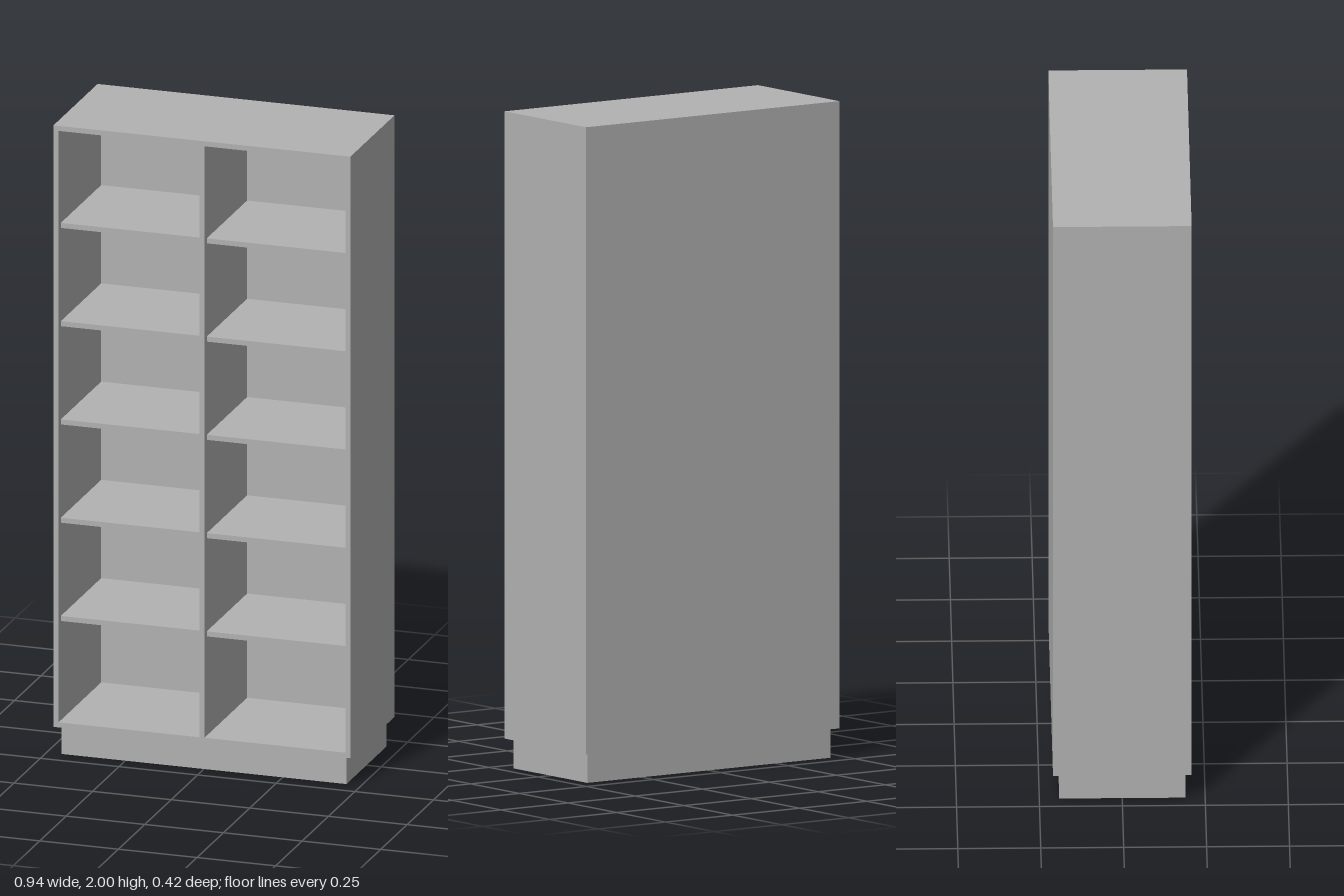
import * as THREE from 'three';

export function createModel() {
  const group = new THREE.Group();
  const grey = new THREE.MeshStandardMaterial({ color: 0xb2b2b2 });
  grey.name = 'grey';

  // Overall cabinet dimensions
  const W = 0.944, D = 0.418, BASE = 0.09, TOP = 2, T = 0.016;
  const H = TOP - BASE, inner = W - 2 * T, backT = 0.014;

  // Box placed by its centre
  const panel = (name, w, h, d, x, y, z) => {
    const mesh = new THREE.Mesh(new THREE.BoxGeometry(w, h, d), grey);
    mesh.name = name;
    mesh.position.set(x, y, z);
    group.add(mesh);
  };

  // Recessed plinth
  panel('plinth', 0.906, BASE, 0.38, 0, BASE / 2, 0);

  // Outer carcass
  panel('leftSide', T, H, D, (W - T) / 2, BASE + H / 2, 0);
  panel('rightSide', T, H, D, -(W - T) / 2, BASE + H / 2, 0);
  panel('topPanel', inner, T, D, 0, TOP - T / 2, 0);
  panel('bottomPanel', inner, T, D, 0, BASE + T / 2, 0);
  panel('backPanel', inner, H - 2 * T, backT, 0, BASE + H / 2, (backT - D) / 2);

  // Central divider
  const depth = D - backT;
  panel('divider', T, H - 2 * T, depth, 0, BASE + H / 2, backT / 2);

  // Five shelves per bay, set slightly back from the front edge
  const recess = 0.022, bay = (inner - T) / 2;
  for (const side of [-1, 1]) {
    for (let i = 0; i < 5; i++) {
      panel('shelf', bay, T, depth - recess,
        side * (bay + T) / 2, 0.429 + i * 0.312, (backT - recess) / 2);
    }
  }
  return group;
}
